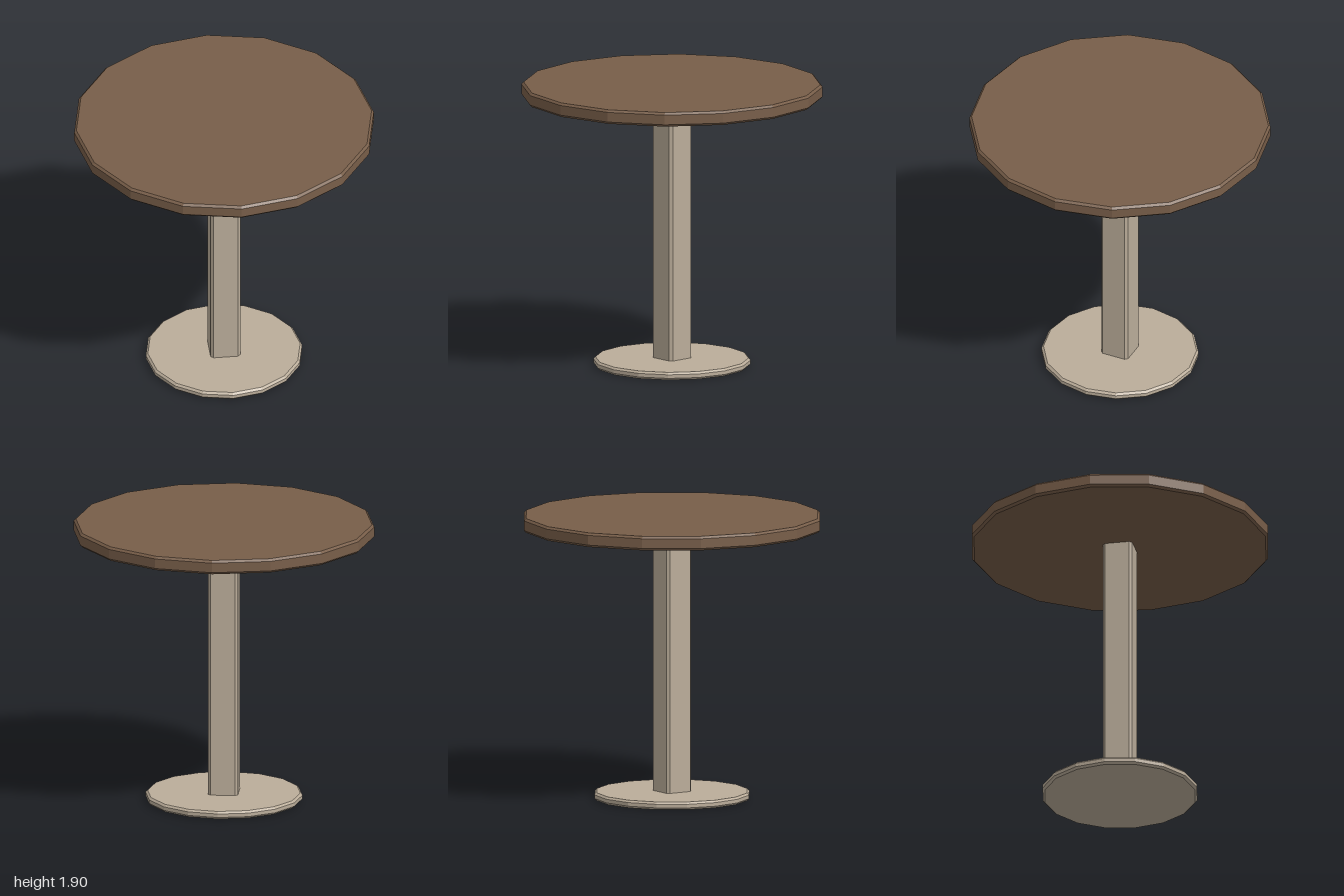
import * as THREE from 'three';

const wood = new THREE.MeshStandardMaterial({ color: 0x785e49, flatShading: true });
const stone = new THREE.MeshStandardMaterial({ color: 0xbbad9a, flatShading: true });

// Sixteen-sided disc with chamfered rims, from y0 up to y1
function bevelledDisc(name, radius, y0, y1, bevel, material) {
  const profile = [
    [0, y0], [radius - bevel, y0], [radius, y0 + bevel],
    [radius, y1 - bevel], [radius - bevel, y1], [0, y1],
  ].map(([r, y]) => new THREE.Vector2(r, y));
  const mesh = new THREE.Mesh(new THREE.LatheGeometry(profile, 16), material);
  mesh.name = name;
  return mesh;
}

// Square post turned corner-on, with narrow flats along its edges
function column(y0, y1) {
  const half = 0.127, flat = 0.013;
  const shape = new THREE.Shape();
  for (let i = 0; i < 4; i++) {
    for (const side of [-flat, flat]) {
      const a = (i * Math.PI) / 2;
      const x = half * Math.cos(a) - side * Math.sin(a);
      const y = half * Math.sin(a) + side * Math.cos(a);
      if (i === 0 && side < 0) shape.moveTo(x, y);
      else shape.lineTo(x, y);
    }
  }
  shape.closePath();
  const geometry = new THREE.ExtrudeGeometry(shape, { depth: y1 - y0, bevelEnabled: false });
  geometry.rotateX(-Math.PI / 2).translate(0, y0, 0);
  const mesh = new THREE.Mesh(geometry, stone);
  mesh.name = 'column';
  return mesh;
}

export function createModel() {
  const table = new THREE.Group();
  table.name = 'pedestalTable';
  table.add(
    bevelledDisc('tabletop', 1, 1.81, 1.905, 0.015, wood),
    column(0.04, 1.82),
    bevelledDisc('base', 0.522, 0, 0.052, 0.014, stone),
  );
  return table;
}
